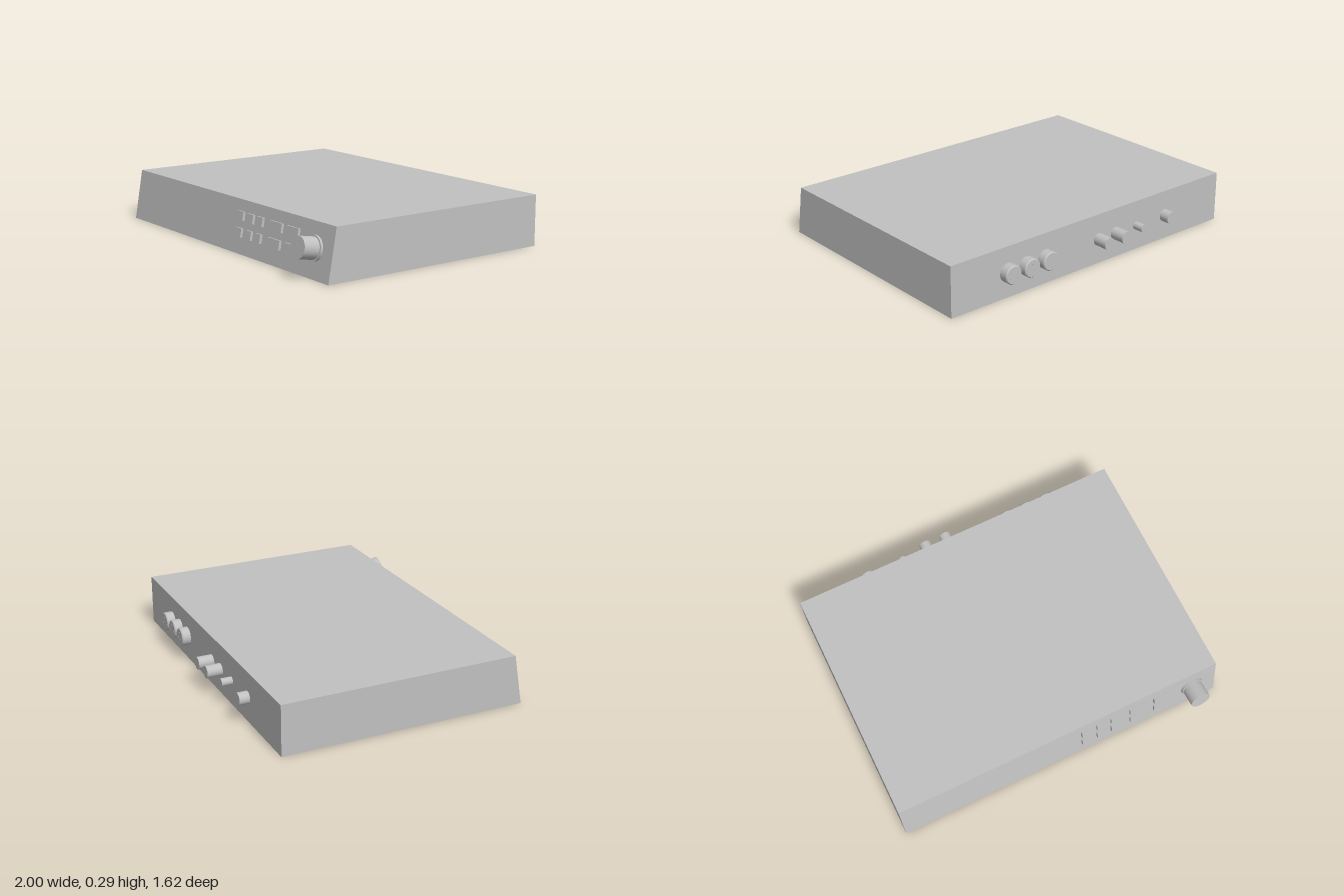
import * as THREE from 'three';

const HEIGHT = 0.295, FRONT = 0.722, BACK = -0.722, SLOPE = 0.052;

export function createModel() {
  const model = new THREE.Group();
  model.name = 'audioUnit';
  const grey = new THREE.MeshStandardMaterial({ color: 0xc0c0c0 });
  grey.name = 'casing grey';

  const add = (parent, name, geometry, x, y, z) => {
    const mesh = new THREE.Mesh(geometry, grey);
    mesh.name = name;
    mesh.position.set(x, y, z);
    parent.add(mesh);
    return mesh;
  };

  // Cylinder starting at z = 0 and pointing towards +z
  const rod = (radius, length, tip = radius) =>
    new THREE.CylinderGeometry(tip, radius, length, 32)
      .rotateX(Math.PI / 2).translate(0, 0, length / 2);

  // Casing: a box whose front leans back at the top
  const box = new THREE.BoxGeometry(2, HEIGHT, FRONT - BACK).translate(0, HEIGHT / 2, 0);
  const p = box.attributes.position;
  for (let i = 0; i < p.count; i++) {
    if (p.getY(i) > 0.1 && p.getZ(i) > 0) p.setZ(i, FRONT - SLOPE);
  }
  box.computeVertexNormals();
  add(model, 'casing', box, 0, 0, 0);

  // Front controls, laid out in the plane of the sloping panel
  const panel = new THREE.Group();
  panel.name = 'frontControls';
  panel.position.z = FRONT;
  panel.rotation.x = -Math.atan2(SLOPE, HEIGHT);
  model.add(panel);

  // Two rows of buttons: [centre x, width]
  const columns = [[0.157, 0.058], [0.254, 0.058], [0.345, 0.058], [0.497, 0.116], [0.65, 0.112]];
  for (const y of [0.118, 0.21]) {
    for (const [x, width] of columns) {
      add(panel, 'button', new THREE.BoxGeometry(width, 0.051, 0.03), x, y, 0);
    }
  }

  // Volume knob on a thin collar
  add(panel, 'knobCollar', rod(0.069, 0.014), 0.847, 0.161, 0);
  add(panel, 'volumeKnob', rod(0.06, 0.108), 0.847, 0.161, 0);

  // Rear sockets, pointing backwards
  const rear = new THREE.Group();
  rear.name = 'rearSockets';
  rear.position.set(0, 0.146, BACK);
  rear.rotation.y = Math.PI;
  model.add(rear);

  // Plain round sockets: [x, radius, length]
  const plain = [[-0.559, 0.036, 0.06], [-0.329, 0.023, 0.064], [-0.166, 0.036, 0.09], [-0.035, 0.036, 0.09]];
  for (const [x, radius, length] of plain) {
    add(rear, 'roundSocket', rod(radius, length), -x, 0, 0);
  }

  // Large sockets with a bevelled rim and three contacts
  for (const x of [0.359, 0.491, 0.621]) {
    add(rear, 'largeSocket', rod(0.054, 0.046), -x, 0, 0);
    add(rear, 'socketRim', rod(0.054, 0.006, 0.049), -x, 0, 0.046);
    for (let i = 0; i < 3; i++) {
      const a = Math.PI * (0.5 + i * 2 / 3);
      add(rear, 'contact', rod(0.005, 0.002), -x + 0.025 * Math.cos(a), 0.025 * Math.sin(a), 0.052);
    }
  }
  return model;
}
